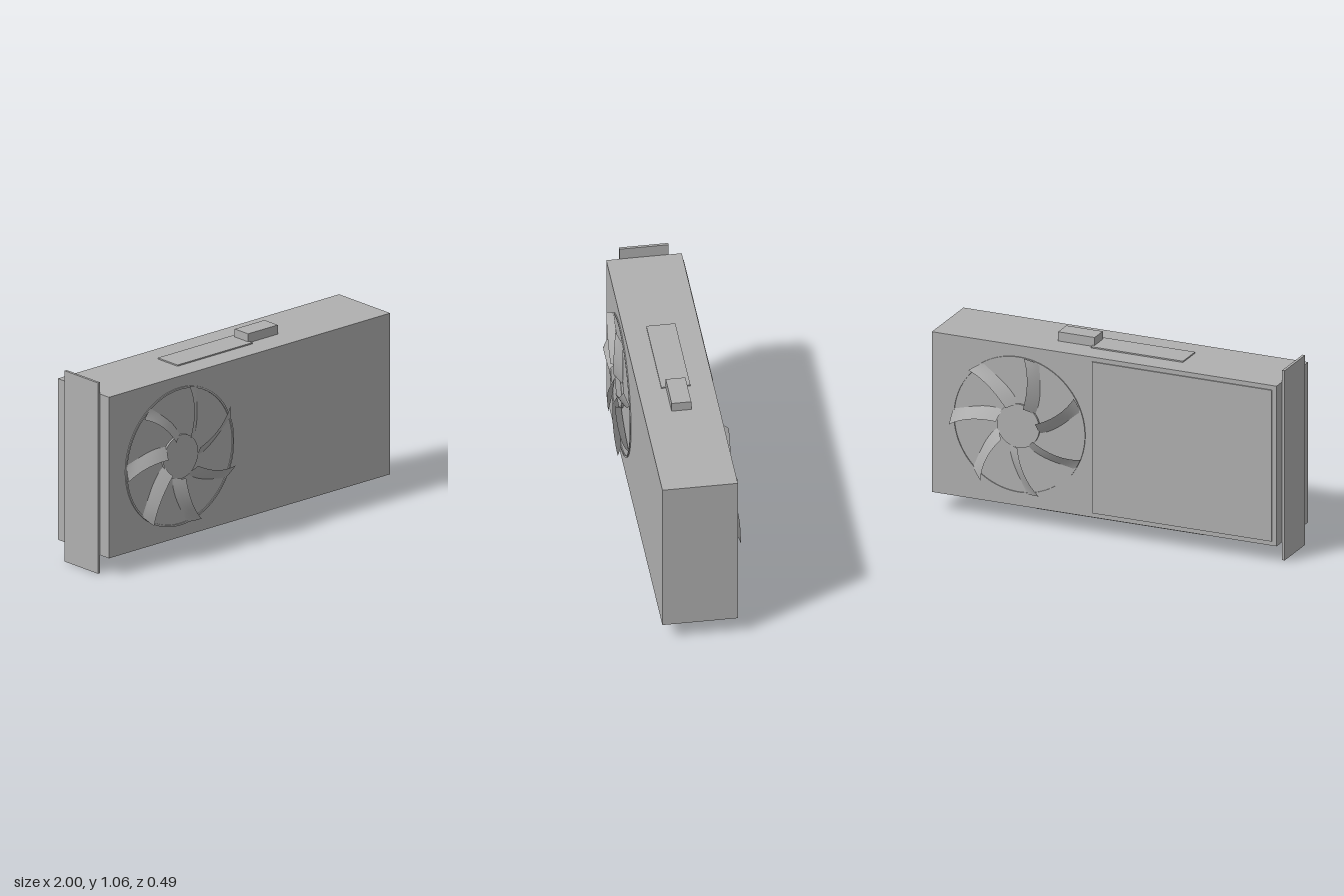
import * as THREE from 'three';

const grey = new THREE.MeshStandardMaterial({ color: 0xb0b0b0 });
grey.name = 'grey';
const bladeGrey = grey.clone();
bladeGrey.name = 'blade grey';
bladeGrey.side = THREE.DoubleSide;

// Box from its minimum and maximum corners
function box(name, [x0, y0, z0], [x1, y1, z1]) {
  const mesh = new THREE.Mesh(new THREE.BoxGeometry(x1 - x0, y1 - y0, z1 - z0), grey);
  mesh.position.set((x0 + x1) / 2, (y0 + y1) / 2, (z0 + z1) / 2);
  mesh.name = name;
  return mesh;
}

// Swept, pitched blade: the leading edge is high, the trailing edge is low
function bladeGeometry() {
  const radial = 10, across = 5, positions = [], index = [];
  // quadratic through the root, middle and tip values
  const quad = (a, b, c, s) =>
    a * (1 - s) * (1 - 2 * s) + b * 4 * s * (1 - s) + c * s * (2 * s - 1);
  for (let i = 0; i <= radial; i++) {
    const s = i / radial;
    const lead = quad(69, 75, 83.6, s), trail = quad(38, 60, 71.5, s);
    for (let j = 0; j <= across; j++) {
      const t = j / across;
      const a = THREE.MathUtils.degToRad(lead + (trail - lead) * t);
      const r = 0.115 + (0.275 - 0.012 * t) * s;
      const top = quad(0.043, 0.045, 0.033, s);
      positions.push(r * Math.cos(a), r * Math.sin(a), top + (0.003 - top) * t);
      if (i < radial && j < across) {
        const p = i * (across + 1) + j, q = p + across + 1;
        index.push(p, p + 1, q, q, p + 1, q + 1);
      }
    }
  }
  const g = new THREE.BufferGeometry();
  g.setAttribute('position', new THREE.Float32BufferAttribute(positions, 3));
  g.setIndex(index);
  g.computeVertexNormals();
  return g;
}

// Fan lying on the plane z = 0, facing +z
function makeFan(name) {
  const fan = new THREE.Group();
  fan.name = name;

  const shape = new THREE.Shape().absarc(0, 0, 0.382, 0, Math.PI * 2);
  shape.holes.push(new THREE.Path().absarc(0, 0, 0.372, 0, Math.PI * 2, true));
  const ring = new THREE.Mesh(
    new THREE.ExtrudeGeometry(shape, { depth: 0.006, bevelEnabled: false, curveSegments: 64 }), grey);
  ring.name = 'fanRing';

  const hub = new THREE.Mesh(new THREE.CylinderGeometry(0.122, 0.122, 0.012, 48), grey);
  hub.rotation.x = Math.PI / 2;
  hub.position.z = 0.006;
  hub.name = 'fanHub';
  fan.add(ring, hub);

  const geometry = bladeGeometry();
  for (let i = 0; i < 7; i++) {
    const blade = new THREE.Mesh(geometry, bladeGrey);
    blade.rotation.z = (i / 7) * Math.PI * 2;
    blade.name = 'fanBlade';
    fan.add(blade);
  }
  return fan;
}

export function createModel() {
  const card = new THREE.Group();
  card.name = 'graphicsCard';
  card.add(
    box('shroud', [-0.985, 0.1, -0.2], [1, 0.995, 0.2]),
    box('mountingBracket', [-1, 0, -0.13], [-0.985, 1.06, 0.13]),
    box('edgeConnector', [-0.485, 0.02, -0.007], [0.49, 0.1, 0.007]),
    box('powerSocket', [0.13, 0.995, -0.052], [0.34, 1.046, 0.052]),
    box('topPlate', [-0.39, 0.995, -0.077], [0.14, 1.002, 0.077]),
    box('backplate', [-0.96, 0.125, -0.207], [0.075, 0.97, -0.2]),
  );

  const frontFan = makeFan('frontFan');
  frontFan.position.set(-0.488, 0.55, 0.2);
  const backFan = makeFan('backFan');
  backFan.position.set(0.498, 0.55, -0.2);
  backFan.rotation.y = Math.PI;
  card.add(frontFan, backFan);
  return card;
}
